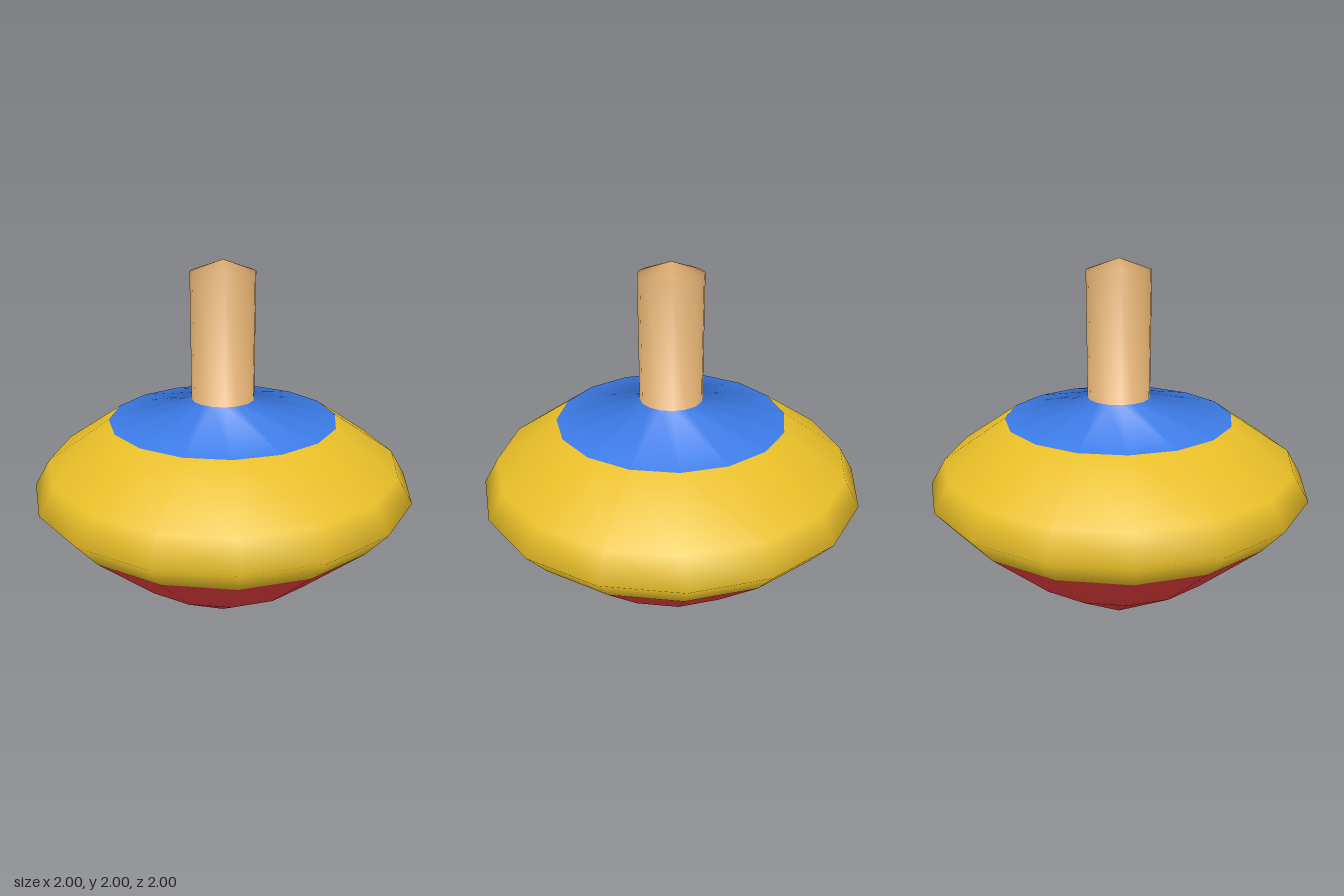
import * as THREE from 'three';

const SIDES = 16;

// Outline from the tip up to the handle's cap: [radius, height]
const PROFILE = [
  [0, 0.005], [0.55, 0.385], [0.89, 0.705], // lower cone
  [1, 0.84], [0.92, 0.975], [0.595, 1.195], // middle band
  [0.163, 1.3], // upper cone
  [0.163, 1.945], [0, 2], // handle
];

// One turned body, so that the shading runs smoothly across the colours
function turnBody() {
  const points = PROFILE.map(([r, y]) => new THREE.Vector2(r, y));
  const body = new THREE.LatheGeometry(points, SIDES);
  const last = PROFILE.length - 1;
  // Both poles are rounded off: straight down at the tip, straight up at the cap
  for (let i = 0; i <= SIDES; i++) {
    body.attributes.normal.setXYZ(i * PROFILE.length, 0, -1, 0);
    body.attributes.normal.setXYZ(i * PROFILE.length + last, 0, 1, 0);
  }
  return body;
}

export function createModel() {
  const group = new THREE.Group();
  group.name = 'spinningTop';
  const body = turnBody();
  const bands = PROFILE.length - 1;

  // Each part takes the bands of the body between two profile points
  const addPart = (name, from, to, colourName, color) => {
    const material = new THREE.MeshStandardMaterial({ color });
    material.name = colourName;
    const geometry = body.clone();
    const faces = Array.from(body.index.array).filter((_, k) => {
      const band = Math.floor(k / 6) % bands;
      return band >= from && band < to;
    });
    geometry.setIndex(faces);
    const mesh = new THREE.Mesh(geometry, material);
    mesh.name = name;
    group.add(mesh);
  };

  addPart('lowerCone', 0, 2, 'red', 0xe53c3e);
  addPart('middleBand', 2, 5, 'yellow', 0xe8be28);
  addPart('upperCone', 5, 6, 'blue', 0x3e80f0);
  addPart('handle', 6, 8, 'wood', 0xdcac70);

  return group;
}
